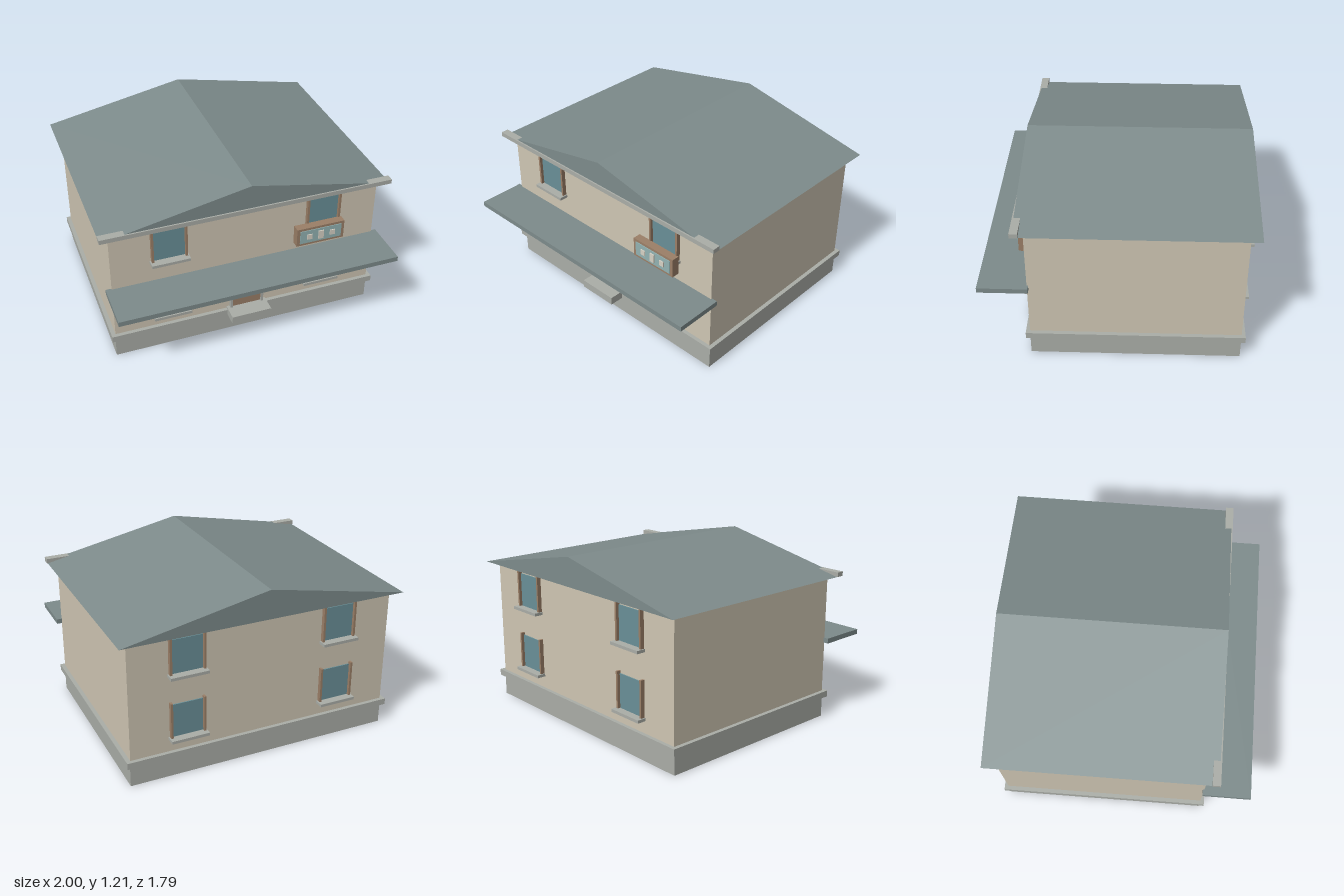
import * as THREE from 'three';

const material = (color) => new THREE.MeshStandardMaterial({ color });

export function createModel() {
  const house = new THREE.Group();
  house.name = 'house';

  const plaster = material(0xd0c7b4);
  const stone = material(0xabaea8);
  const slate = material(0x7e8c8c);
  const wood = material(0x9c8068);
  const glass = material(0x6a9098);
  const paleBlue = material(0x93b3b3);
  const cream = material(0xd8d3c6);

  // Box given by its minimum and maximum on each axis
  function box(parent, name, mat, [x0, x1], [y0, y1], [z0, z1]) {
    const mesh = new THREE.Mesh(new THREE.BoxGeometry(x1 - x0, y1 - y0, z1 - z0), mat);
    mesh.position.set((x0 + x1) / 2, (y0 + y1) / 2, (z0 + z1) / 2);
    mesh.name = name;
    parent.add(mesh);
    return mesh;
  }

  // Body of the house
  const front = 0.575, back = -0.825;
  box(house, 'foundation', stone, [-0.935, 0.935], [0, 0.146], [back, front]);
  box(house, 'plinthLedge', stone, [-0.96, 0.96], [0.146, 0.19], [back - 0.026, front + 0.026]);
  box(house, 'walls', plaster, [-0.932, 0.932], [0.19, 1.015], [back, front]);

  // Gabled roof: one triangular prism
  const gable = new THREE.Shape();
  gable.moveTo(-0.995, 1.013);
  gable.lineTo(0.995, 1.013);
  gable.lineTo(0, 1.213);
  gable.closePath();
  const roof = new THREE.Mesh(
    new THREE.ExtrudeGeometry(gable, { depth: 1.533, bevelEnabled: false }), slate);
  roof.position.z = -0.893;
  roof.name = 'roof';
  house.add(roof);
  box(house, 'frontFascia', stone, [-1, 1], [1.014, 1.045], [0.597, 0.65]);

  // Awning over the ground floor
  box(house, 'awning', slate, [-0.97, 0.97], [0.545, 0.58], [0.565, 0.895]);

  // Window with its sill at local y = 0, facing +z from the wall plane
  function makeWindow(name) {
    const win = new THREE.Group();
    win.name = name;
    box(win, 'glass', glass, [-0.108, 0.108], [0, 0.232], [-0.01, 0.008]);
    for (const s of [-1, 1]) {
      const jamb = box(win, 'jamb', wood, [-0.0075, 0.0075], [0, 0.25], [-0.01, 0.028]);
      jamb.position.x = s * 0.114;
    }
    box(win, 'sill', stone, [-0.13, 0.13], [-0.02, 0], [-0.01, 0.062]);
    return win;
  }

  for (const isFront of [true, false]) {
    for (const x of [-0.54, 0.54]) {
      for (const y of [0.295, 0.745]) {
        const win = makeWindow(isFront ? 'frontWindow' : 'backWindow');
        win.position.set(x, y, isFront ? front : back);
        if (!isFront) win.rotation.y = Math.PI;
        house.add(win);
      }
    }
  }

  // Entrance
  const entrance = new THREE.Group();
  entrance.name = 'entrance';
  house.add(entrance);
  box(entrance, 'step', stone, [-0.142, 0.142], [0.146, 0.203], [front - 0.01, 0.7]);
  box(entrance, 'door', wood, [-0.104, 0.104], [0.203, 0.485], [front - 0.01, 0.588]);
  for (const s of [-1, 1]) {
    const jamb = box(entrance, 'doorJamb', stone, [-0.008, 0.008], [0.203, 0.51], [front - 0.01, 0.602]);
    jamb.position.x = s * 0.112;
  }

  // Wall panel in front of the upper window, with three small plaques
  const panel = new THREE.Group();
  panel.name = 'displayPanel';
  panel.position.set(0.5, 0.723, 0);
  house.add(panel);
  box(panel, 'panelCase', wood, [-0.172, 0.172], [-0.068, 0.068], [0.597, 0.652]);
  box(panel, 'panelFace', paleBlue, [-0.15, 0.15], [-0.05, 0.05], [0.645, 0.657]);
  for (const [x, w, h] of [[-0.083, 0.036, 0.038], [0, 0.038, 0.064], [0.083, 0.036, 0.038]]) {
    box(panel, 'plaque', cream, [x - w / 2, x + w / 2], [-h / 2, h / 2], [0.65, 0.664]);
  }

  return house;
}
